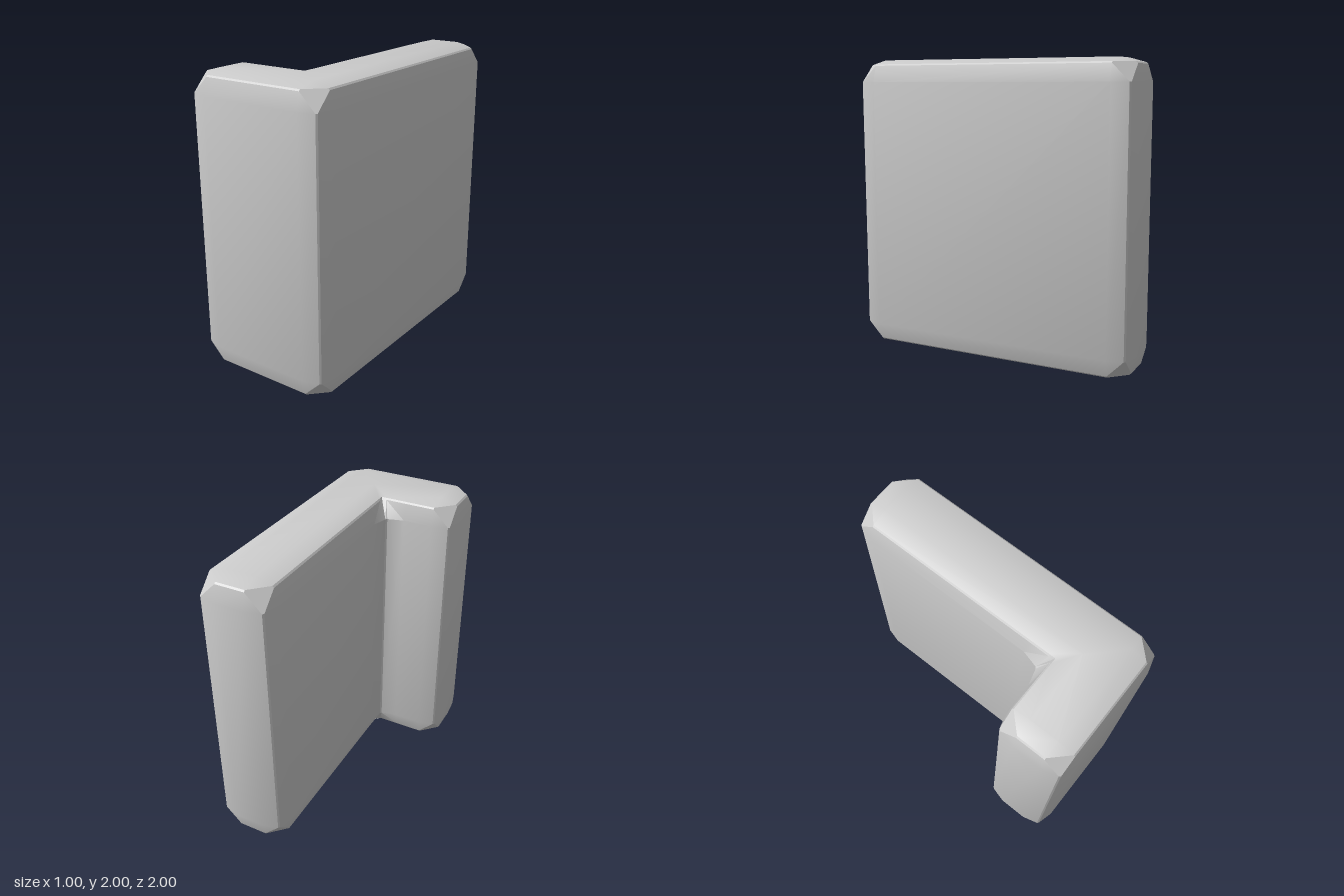
import * as THREE from 'three';
import { toCreasedNormals } from 'three/addons/utils/BufferGeometryUtils.js';

// Plan of the L-shaped slab as (x, z) corners; corner 4 is the inner one.
const PLAN = [[-0.5, 1], [0.5, 1], [0.5, -1], [0, -1], [0, 0.5], [-0.5, 0.5]];
const INNER = 4;
const H = 2;        // height
const FLAT = 0.15;  // inset of the flat middle of each face
const RIM = 0.04;   // inset of the face rim
const DROP = 0.03;  // how far the rim sinks below the face

const positions = [];

// Adds a convex polygon as a triangle fan.
function add(...p) {
  for (let i = 1; i < p.length - 1; i++) {
    for (const v of [p[0], p[i], p[i + 1]]) positions.push(...v.map((c) => +c.toFixed(4)));
  }
}

// Adds a polygon of the upper half and its mirror image in the lower half.
function addBoth(...p) {
  add(...p);
  add(...p.map(([x, y, z]) => [x, H - y, z]).reverse());
}

// Describes one wall: at(u, y, out) gives a point along, up and out of it.
function makeWall(i) {
  const j = (i + 1) % PLAN.length;
  const [x0, z0] = PLAN[i], [x1, z1] = PLAN[j];
  const len = Math.hypot(x1 - x0, z1 - z0);
  const dx = (x1 - x0) / len, dz = (z1 - z0) / len;
  const at = (u, y, out) => [x0 + dx * u - dz * out, y, z0 + dz * u + dx * out];
  const startInner = i === INNER, endInner = j === INNER;
  return {
    at, len, startInner, endInner,
    startOut: startInner ? DROP : -DROP,
    endOut: endInner ? DROP : -DROP,
    t0: startInner ? 0 : FLAT,              // ends of the top edge strip
    t1: endInner ? len : len - FLAT,
    c0: startInner ? -FLAT : FLAT,          // ends of the flat top's side
    c1: endInner ? len + FLAT : len - FLAT,
  };
}

export function createModel() {
  positions.length = 0;
  const walls = PLAN.map((_, i) => makeWall(i));
  const yFlat = H - FLAT, yRim = H - RIM, yTop = H - DROP;

  walls.forEach((w, i) => {
    const next = walls[(i + 1) % walls.length];
    const { at, len, t0, t1, c0, c1 } = w;
    const f0 = FLAT, f1 = len - FLAT;

    // wall face: flat middle and sloped borders
    const columns = [[RIM, w.startOut], [f0, 0], [f1, 0], [len - RIM, w.endOut]];
    for (let k = 0; k < 3; k++) {
      const [a, ao] = columns[k], [b, bo] = columns[k + 1];
      add(at(a, FLAT, ao), at(b, FLAT, bo), at(b, yFlat, bo), at(a, yFlat, ao));
    }
    addBoth(at(f0, yFlat, 0), at(f1, yFlat, 0), at(f1, yRim, -DROP), at(f0, yRim, -DROP));

    // wall face corners
    const endCorner = [at(f1, yFlat, 0), at(len - RIM, yFlat, w.endOut)];
    if (w.endInner) endCorner.push(at(len, yRim, -DROP));
    addBoth(...endCorner, at(f1, yRim, -DROP));
    const startCorner = [at(f0, yFlat, 0), at(f0, yRim, -DROP)];
    if (w.startInner) startCorner.push(at(0, yRim, -DROP));
    addBoth(...startCorner, at(RIM, yFlat, w.startOut));

    // thin chamfer strip between wall and top, and the sloped top border
    addBoth(at(t0, yRim, -DROP), at(t1, yRim, -DROP), at(t1, yTop, -RIM), at(t0, yTop, -RIM));
    addBoth(at(t0, yTop, -RIM), at(t1, yTop, -RIM), at(c1, H, -FLAT), at(c0, H, -FLAT));

    // thin upright chamfer strip to the next wall
    const a = (y) => at(len - RIM, y, w.endOut);
    const b = (y) => next.at(RIM, y, next.startOut);
    add(a(FLAT), b(FLAT), b(yFlat), a(yFlat));

    // corner facet and the corner of the top border
    const topA = at(t1, yTop, -RIM), topB = next.at(next.t0, yTop, -RIM);
    const mid = w.endInner ? [at(len + RIM, yTop, -RIM)] : [];
    addBoth(a(yFlat), b(yFlat), next.at(next.t0, yRim, -DROP), topB, ...mid, topA,
      at(t1, yRim, -DROP));
    addBoth(at(c1, H, -FLAT), topA, ...mid, topB);
  });

  // flat middle of the top and bottom, in two pieces
  const flat = walls.map((w) => w.at(w.c0, H, -FLAT));
  addBoth(flat[4], flat[1], flat[2], flat[3]);
  addBoth(flat[4], flat[5], flat[0], flat[1]);

  const geometry = new THREE.BufferGeometry();
  geometry.setAttribute('position', new THREE.Float32BufferAttribute(positions, 3));
  const slab = new THREE.Mesh(
    toCreasedNormals(geometry, 0.42),
    new THREE.MeshStandardMaterial({ color: 0xcccccc }),
  );
  slab.name = 'cornerWallBlock';

  const group = new THREE.Group();
  group.name = 'cornerWall';
  group.add(slab);
  return group;
}
